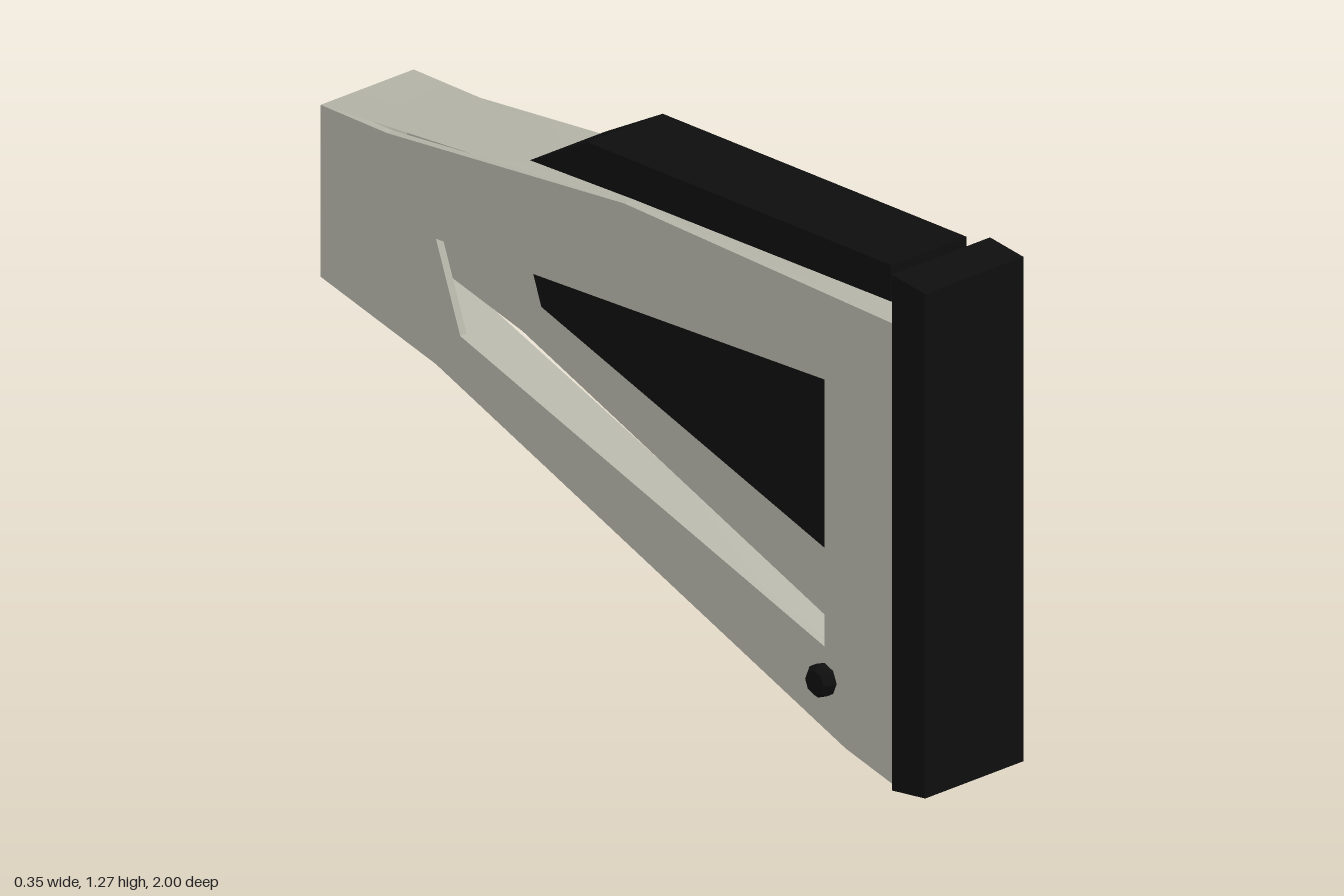
import * as THREE from 'three';

const HALF = 0.145; // half width of the hollow shell
const WALL = 0.02;

const shell = new THREE.MeshStandardMaterial({ color: 0xb4b4a8, side: THREE.DoubleSide });
shell.name = 'warm grey shell';
const black = new THREE.MeshStandardMaterial({ color: 0x0e0e0e });
black.name = 'black rubber';

// Side outlines are lists of [z, y]
const toShape = (pts) => new THREE.Shape(pts.map(([z, y]) => new THREE.Vector2(z, y)));

// Extrudes a side outline across the model from x0 to x1
function slab(name, pts, x0, x1, material, hole) {
  const shape = toShape(pts);
  if (hole) shape.holes.push(toShape(hole));
  const geo = new THREE.ExtrudeGeometry(shape, { depth: x1 - x0, bevelEnabled: false });
  geo.rotateY(-Math.PI / 2).translate(x1, 0, 0);
  const mesh = new THREE.Mesh(geo, material);
  mesh.name = name;
  return mesh;
}

// Thin skin stretched between a left (+x) and a right (-x) edge profile
function skin(name, left, right, flip) {
  const pos = [];
  const index = [];
  left.forEach(([z, y], i) => {
    pos.push(HALF, y, z, -HALF, right[i][1], right[i][0]);
    if (i === 0) return;
    const a = 2 * i - 2, b = a + 1, c = a + 2, d = a + 3;
    if (flip) index.push(a, b, c, b, d, c);
    else index.push(a, c, b, b, c, d);
  });
  const geo = new THREE.BufferGeometry();
  geo.setAttribute('position', new THREE.Float32BufferAttribute(pos, 3));
  geo.setIndex(index);
  geo.computeVertexNormals();
  const mesh = new THREE.Mesh(geo, shell);
  mesh.name = name;
  return mesh;
}

export function createModel() {
  const model = new THREE.Group();
  model.name = 'shoulderStock';

  const outline = [
    [0.89, 0.01], [0.73, 0.05], [-0.62, 0.57], [-0.9, 0.64], [-1, 0.665],
    [-1, 1.09], [-0.78, 1.09], [0, 1.165], [0.89, 1.15],
  ];
  const opening = [[0.66, 0.94], [-0.62, 0.88], [-0.54, 0.665], [0.66, 0.28]];

  // Side walls with a large opening
  model.add(slab('leftWall', outline, HALF - WALL, HALF, shell, opening));
  model.add(slab('rightWall', outline, -HALF, -HALF + WALL, shell, opening));

  // Dark panel closing the left opening from inside
  const panel = [[0.67, 0.95], [-0.635, 0.89], [-0.55, 0.655], [0.67, 0.265]];
  model.add(slab('leftPanel', panel, HALF - WALL - 0.008, HALF - WALL, black));

  // Top, underside and rear skins; one edge of each runs straight past the wall
  model.add(skin('topSkin',
    [[0.89, 1.15], [0, 1.165], [-0.78, 1.09], [-1, 1.09]],
    [[0.89, 1.15], [0, 1.165], [-0.78, 1.107], [-1, 1.09]], true));
  model.add(skin('underSkin',
    [[0.89, 0.01], [0.73, 0.05], [-0.62, 0.539], [-0.9, 0.64], [-1, 0.665]],
    [[0.89, 0.01], [0.73, 0.05], [-0.62, 0.57], [-0.9, 0.64], [-1, 0.665]], false));
  model.add(skin('rearSkin', [[-1, 1.09], [-1, 0.665]], [[-1, 1.09], [-1, 0.665]], true));

  // Butt pad and cheek rest
  model.add(slab('buttPad', [[1, 0.015], [1, 1.262], [0.89, 1.275], [0.89, 0]], -0.153, 0.153, black));
  model.add(slab('cheekRest',
    [[0.85, 1.185], [0.85, 1.275], [-0.15, 1.26], [-0.34, 1.155], [0, 1.167]], -0.117, 0.117, black));

  // Chamfered bolt heads through each wall
  const profile = [[0, -0.03], [0.04, -0.03], [0.04, 0.02], [0.03, 0.032], [0, 0.032]]
    .map(([r, h]) => new THREE.Vector2(r, h));
  const boltGeo = new THREE.LatheGeometry(profile, 8).toNonIndexed();
  boltGeo.computeVertexNormals();
  for (const s of [1, -1]) {
    const bolt = new THREE.Mesh(boltGeo, black);
    bolt.name = s > 0 ? 'leftBolt' : 'rightBolt';
    bolt.position.set(s * HALF, 0.2, 0.66);
    bolt.rotation.z = -s * Math.PI / 2;
    model.add(bolt);
  }
  return model;
}
